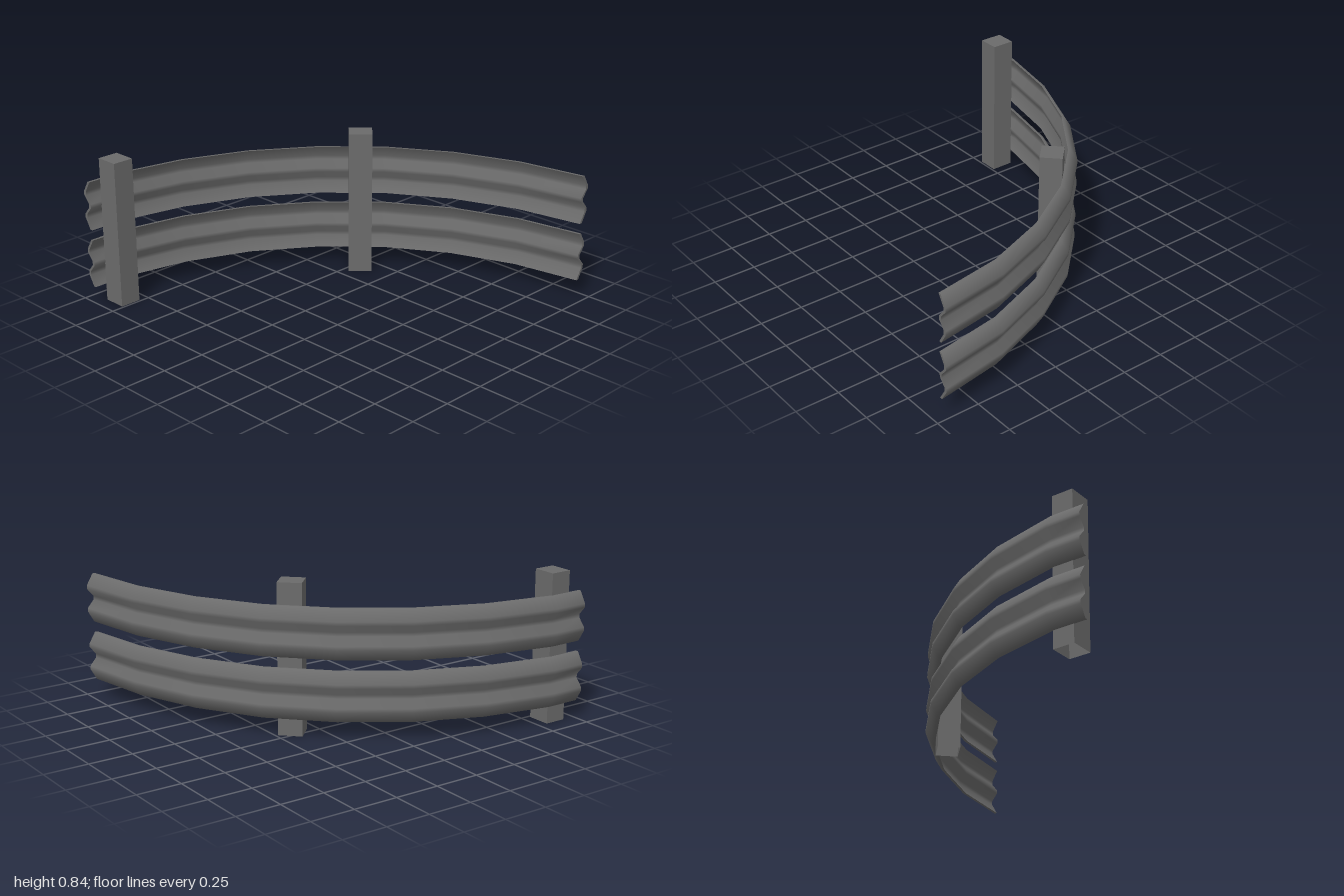
import * as THREE from 'three';
import { toCreasedNormals } from 'three/addons/utils/BufferGeometryUtils.js';

const material = new THREE.MeshStandardMaterial({ color: 0x6b6b6b, side: THREE.DoubleSide });

// Outer edge of the bend in plan (x, z): a short straight run, then the curve
const path = [
  [-1, -0.945], [-0.8, -0.945], [-0.4, -0.86], [-0.03, -0.702], [0.3, -0.472],
  [0.58, -0.182], [0.793, 0.165], [0.935, 0.545], [1, 0.945],
].map(([x, z]) => new THREE.Vector2(x, z));

// Corrugated beam section from top to bottom: [height, depth behind outer edge]
const wave = [
  [0.14, 0.037], [0.077, 0], [0.055, 0], [0.011, 0.037],
  [-0.011, 0.037], [-0.055, 0], [-0.077, 0], [-0.14, 0.037],
];
const thickness = 0.016;
const section = [...wave, ...wave.map(([y, d]) => [y, d + thickness]).reverse()];

// Mitred offset direction pointing inwards at each path point
function inwardMitres() {
  const normals = path.slice(1).map((p, i) => {
    const t = p.clone().sub(path[i]).normalize();
    return new THREE.Vector2(-t.y, t.x);
  });
  return path.map((p, i) => {
    if (i === 0) return normals[0];
    if (i === path.length - 1) return new THREE.Vector2(-1, 0);
    const m = normals[i - 1].clone().add(normals[i]).normalize();
    return m.divideScalar(m.dot(normals[i]));
  });
}

// Sweep the section along the bend and close both ends
function railGeometry() {
  const n = section.length, last = (path.length - 1) * n;
  const positions = [], index = [];
  const mitres = inwardMitres();
  path.forEach((p, i) => {
    for (const [y, d] of section) {
      positions.push(p.x + mitres[i].x * d, y, p.y + mitres[i].y * d);
    }
  });
  for (let i = 0; i < path.length - 1; i++) {
    for (let k = 0; k < n; k++) {
      const a = i * n + k, b = i * n + (k + 1) % n;
      index.push(a, b + n, b, a, a + n, b + n);
    }
  }
  for (let k = 0; k < wave.length - 1; k++) {
    const a = k, b = k + 1, c = n - 2 - k, d = n - 1 - k;
    index.push(a, b, c, a, c, d);
    index.push(last + a, last + c, last + b, last + a, last + d, last + c);
  }
  const geometry = new THREE.BufferGeometry();
  geometry.setAttribute('position', new THREE.Float32BufferAttribute(positions, 3));
  geometry.setIndex(index);
  return toCreasedNormals(geometry, 1.1);
}

// Hollow post: a box without its bottom face
function postGeometry() {
  const geometry = new THREE.BoxGeometry(0.122, 0.84, 0.133);
  const faces = Array.from(geometry.index.array);
  faces.splice(18, 6);
  geometry.setIndex(faces);
  geometry.clearGroups();
  return geometry;
}

export function createModel() {
  const group = new THREE.Group();
  group.name = 'curvedGuardRail';

  // Two beams, one above the other
  const rail = railGeometry();
  for (const [name, y] of [['lowerRail', 0.24], ['upperRail', 0.58]]) {
    const mesh = new THREE.Mesh(rail, material);
    mesh.name = name;
    mesh.position.y = y;
    group.add(mesh);
  }

  // Posts on the inside of the bend
  const post = postGeometry();
  for (const [name, x, z, turn] of [
    ['endPost', -0.865, -0.828, 0],
    ['middlePost', 0.396, -0.206, Math.PI / 4],
  ]) {
    const mesh = new THREE.Mesh(post, material);
    mesh.name = name;
    mesh.position.set(x, 0.42, z);
    mesh.rotation.y = turn;
    group.add(mesh);
  }
  return group;
}
